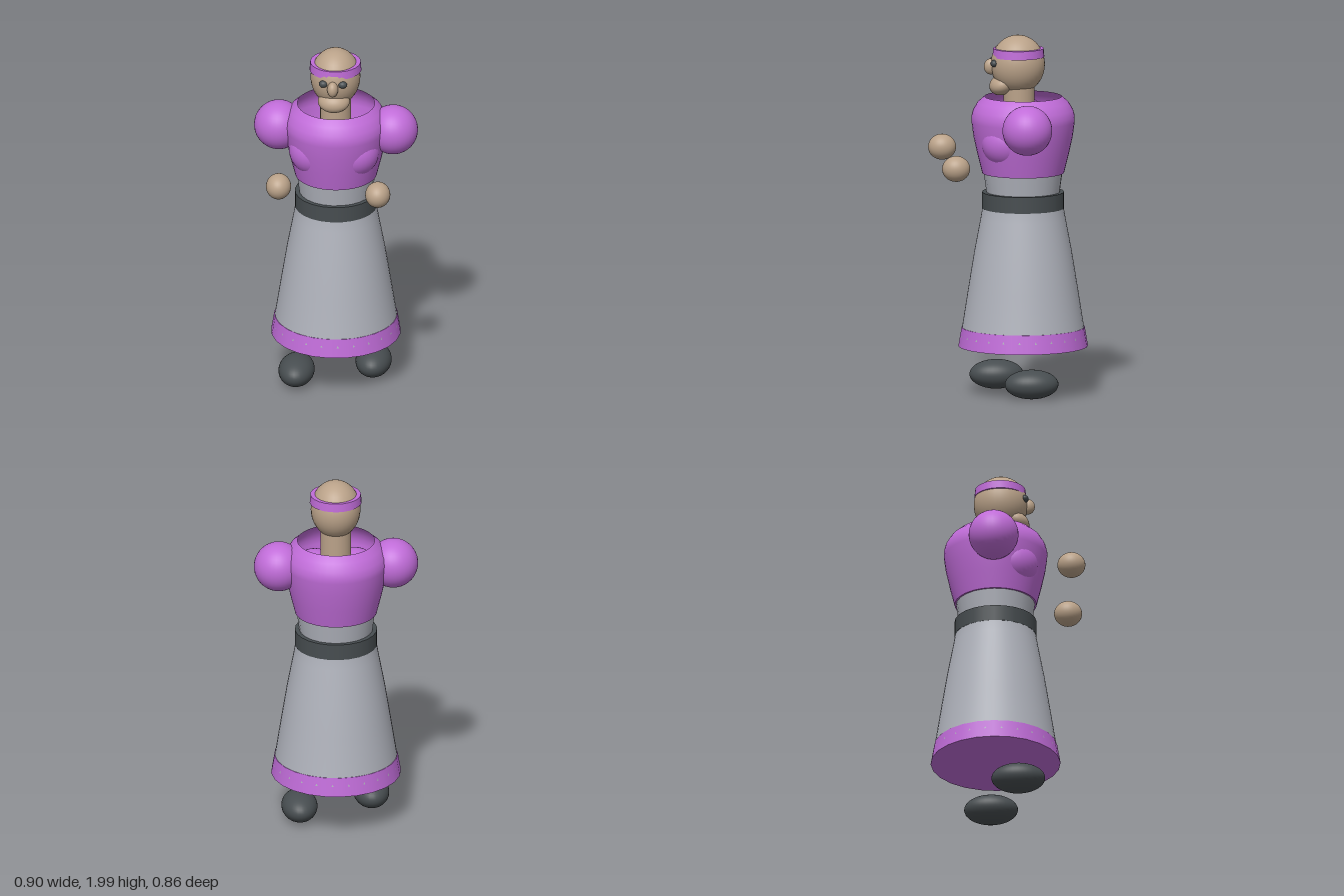
import * as THREE from 'three';

const material = (name, color, side = THREE.FrontSide) => {
  const m = new THREE.MeshStandardMaterial({ color, side });
  m.name = name;
  return m;
};

export function createModel() {
  const group = new THREE.Group();
  const purple = material('purple cloth', 0xc06cd8, THREE.DoubleSide);
  const gray = material('gray cloth', 0xafb2bb);
  const dark = material('dark leather', 0x474d50);
  const skin = material('skin', 0xbaa289);
  const bodyZ = -0.074, headZ = -0.045;

  function add(name, geometry, mat, x, y, z) {
    const mesh = new THREE.Mesh(geometry, mat);
    mesh.name = name;
    mesh.position.set(x, y, z);
    group.add(mesh);
    return mesh;
  }
  // Smooth ellipsoid from its centre and radii
  const ball = (name, mat, [x, y, z], [rx, ry, rz]) =>
    add(name, new THREE.SphereGeometry(1, 32, 24).scale(rx, ry, rz), mat, x, y, z);
  // Upright band between two heights
  const band = (name, mat, rTop, rBottom, y0, y1, z, open = false) =>
    add(name, new THREE.CylinderGeometry(rTop, rBottom, y1 - y0, 24, 1, open), mat, 0, (y0 + y1) / 2, z);
  // Turned part from radius, height pairs
  const lathe = (name, mat, points) =>
    add(name, new THREE.LatheGeometry(points.map(p => new THREE.Vector2(...p)), 48), mat, 0, 0, bodyZ);

  // Robe
  band('hem', purple, 0.339, 0.357, 0.275, 0.38, bodyZ);
  lathe('skirt', gray, [[0.345, 0.33], [0.335, 0.38], [0.302, 0.59], [0.268, 0.8], [0.234, 0.98], [0.222, 1.05], [0.216, 1.12]]);
  band('skirtTop', gray, 0.216, 0.216, 1.11, 1.12, bodyZ);
  band('belt', dark, 0.226, 0.226, 1.04, 1.13, bodyZ);
  band('waist', gray, 0.217, 0.198, 1.1, 1.24, bodyZ);

  // Open-necked jacket with a floor inside
  lathe('jacket', purple, [[0, 1.236], [0.225, 1.236], [0.225, 1.236], [0.251, 1.34], [0.273, 1.44],
    [0.284, 1.52], [0.284, 1.55], [0.275, 1.585], [0.25, 1.627], [0.212, 1.66]]);

  for (const side of [-1, 1]) {
    const part = side > 0 ? 'left' : 'right';
    ball(part + 'Chest', purple, [side * 0.109, 1.42, 0.024], [0.14, 0.14, 0.14]);
    ball(part + 'Sleeve', purple, [side * 0.315, 1.515, -0.074], [0.137, 0.137, 0.137]);
    ball(part + 'Eye', dark, [side * 0.053, 1.851, 0.089], [0.025, 0.02, 0.02]);
  }

  // Floating hands and striding feet
  ball('rightHand', skin, [-0.273, 1.343, 0.352], [0.069, 0.071, 0.077]);
  ball('leftHand', skin, [0.271, 1.301, 0.315], [0.069, 0.071, 0.077]);
  ball('rightFoot', dark, [-0.204, 0.089, 0.058], [0.099, 0.081, 0.148]);
  ball('leftFoot', dark, [0.204, 0.089, -0.106], [0.099, 0.081, 0.148]);

  // Head
  band('neck', skin, 0.085, 0.085, 1.4, 1.75, -0.052);
  ball('head', skin, [0, 1.838, headZ], [0.137, 0.162, 0.149]);
  band('headband', purple, 0.139, 0.143, 1.88, 1.927, -0.048);
  ball('nose', skin, [0, 1.827, 0.104], [0.03, 0.044, 0.038]);
  const muzzle = ball('muzzle', skin, [0, 1.727, 0.042], [0.088, 0.056, 0.072]);
  muzzle.rotation.x = 0.4;

  return group;
}
